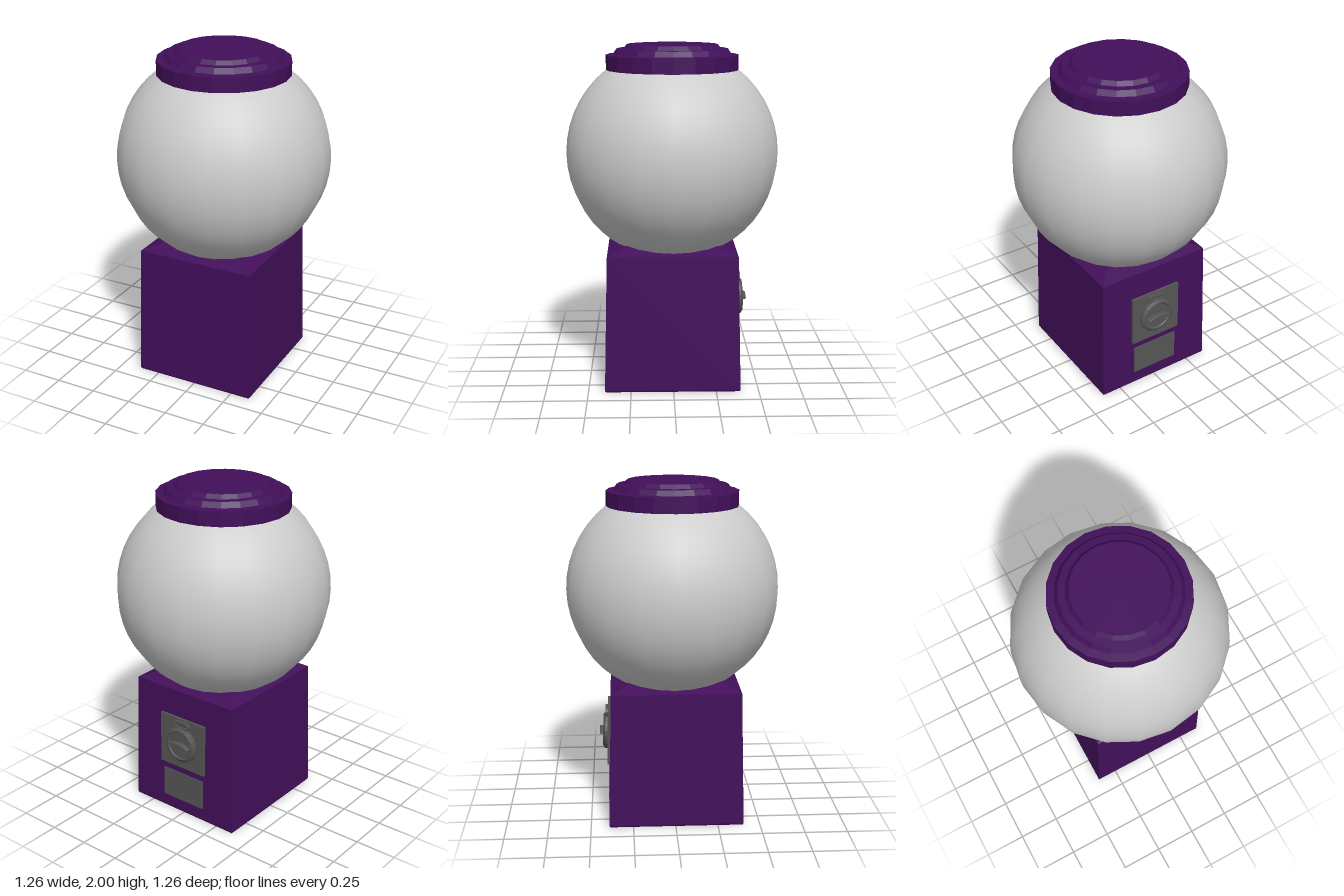
import * as THREE from 'three';

const purple = new THREE.MeshStandardMaterial({ color: 0x420f5a, flatShading: true });
const grey = new THREE.MeshStandardMaterial({ color: 0xcccccc });
const metal = new THREE.MeshStandardMaterial({ color: 0x555555, flatShading: true });
const dark = new THREE.MeshStandardMaterial({ color: 0x3c3c3c, flatShading: true });

function part(parent, name, geometry, material, x = 0, y = 0, z = 0) {
  const mesh = new THREE.Mesh(geometry, material);
  mesh.name = name;
  mesh.position.set(x, y, z);
  parent.add(mesh);
  return mesh;
}

// Lathe from [radius, height] pairs listed upwards
function lathe(profile, segments, start = 0) {
  return new THREE.LatheGeometry(profile.map(([r, y]) => new THREE.Vector2(r, y)), segments, start);
}

// Extruded outline with a small bevel, its back resting at z = 0
function slab(shape, depth, bevel) {
  const geometry = new THREE.ExtrudeGeometry(shape, {
    depth: depth - bevel, bevelEnabled: bevel > 0, bevelThickness: bevel,
    bevelSize: bevel, bevelOffset: -bevel, bevelSegments: 1, curveSegments: 10,
  });
  return geometry;
}

function pill(halfLength, radius) {
  const s = new THREE.Shape();
  s.absarc(halfLength - radius, 0, radius, -Math.PI / 2, Math.PI / 2, false);
  s.absarc(radius - halfLength, 0, radius, Math.PI / 2, Math.PI * 1.5, false);
  s.closePath();
  return s;
}

export function createModel() {
  const model = new THREE.Group();
  model.name = 'gumballMachine';

  // Tapered square base with sloping shoulders (half-widths, turned into corner radii)
  const baseProfile = [[0, 0], [0.37, 0], [0.375, 0.01], [0.357, 0.81], [0.25, 0.85], [0, 0.85]];
  const baseGeometry = lathe(baseProfile.map(([w, y]) => [w * Math.SQRT2, y]), 4, Math.PI / 4);
  baseGeometry.scale(1, 1, 1.06);
  part(model, 'base', baseGeometry, purple, 0, 0, 0.005);

  // Globe
  part(model, 'globe', new THREE.SphereGeometry(0.628, 20, 24), grey, 0, 1.36, 0);

  // Stepped lid
  const lidProfile = [
    [0, 1.85], [0.388, 1.85], [0.388, 1.94], [0.345, 1.945],
    [0.325, 1.975], [0.285, 1.977], [0.265, 2], [0, 2],
  ];
  part(model, 'lid', lathe(lidProfile, 20), purple);

  // Coin mechanism, lying on the leaning back face
  const coin = new THREE.Group();
  coin.name = 'coinMechanism';
  coin.position.set(0, 0.48, -0.382);
  coin.rotation.set(0.022, Math.PI, 0);
  model.add(coin);
  part(coin, 'coinPlate', new THREE.BoxGeometry(0.33, 0.325, 0.03), metal);

  // Coin slot surround with a narrow opening
  const surround = pill(0.06, 0.026);
  surround.holes.push(pill(0.042, 0.008));
  part(coin, 'coinSlot', slab(surround, 0.016, 0), metal, 0, 0.125, 0.014);
  part(coin, 'coinSlotOpening', new THREE.BoxGeometry(0.09, 0.018, 0.004), dark, 0, 0.125, 0.015);

  // Turning knob: stepped disc and a lens-shaped grip
  const knob = lathe([[0.112, 0.01], [0.112, 0.03], [0.095, 0.042], [0.088, 0.042], [0.082, 0.036], [0, 0.036]], 24);
  knob.rotateX(Math.PI / 2);
  part(coin, 'knob', knob, metal);
  const grip = new THREE.Shape();
  grip.moveTo(-0.078, 0);
  grip.quadraticCurveTo(0, -0.04, 0.078, 0);
  grip.quadraticCurveTo(0, 0.04, -0.078, 0);
  part(coin, 'knobGrip', slab(grip, 0.03, 0.003), metal, 0, 0, 0.033);

  // Dispensing flap below the plate
  part(coin, 'dispenserFlap', new THREE.BoxGeometry(0.3, 0.187, 0.02), metal, 0, -0.303, -0.005);

  return model;
}
